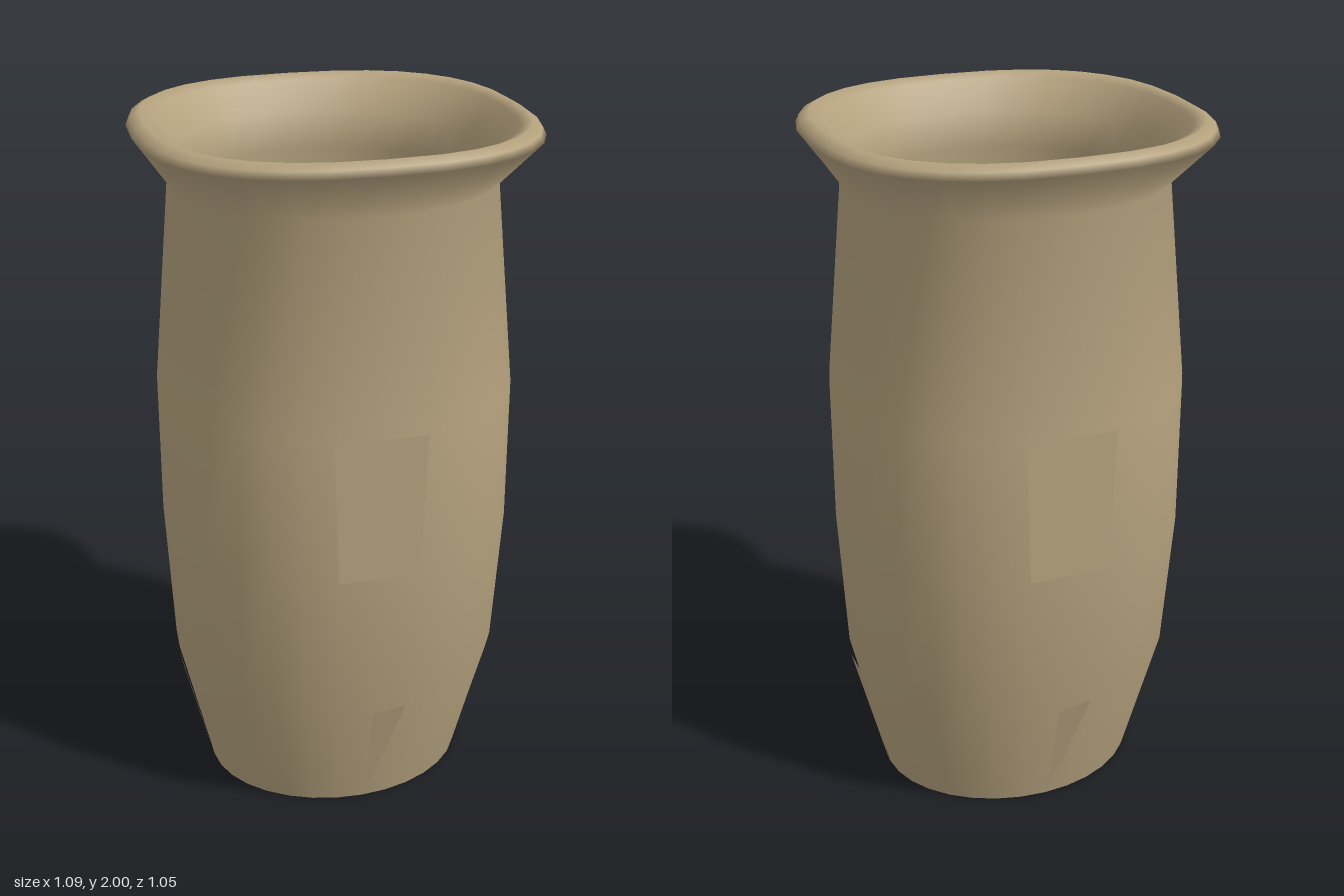
import * as THREE from 'three';

const SEG = 32;

// Point on a rounded-square ring; n = 2 is an ellipse, larger is squarer
function ringPoint([y, rx, rz, n], i) {
  const a = (i / SEG) * Math.PI * 2;
  const bend = (v) => Math.sign(v) * Math.pow(Math.abs(v), 2 / n);
  return [rx * bend(Math.cos(a)), y, rz * bend(Math.sin(a))];
}

// Skin a list of rings into one smooth surface
function loft(rings) {
  const positions = [], index = [];
  rings.forEach((ring, r) => {
    for (let i = 0; i < SEG; i++) {
      positions.push(...ringPoint(ring, i));
      if (r === rings.length - 1) continue;
      const a = r * SEG + i, b = r * SEG + ((i + 1) % SEG);
      index.push(a, a + SEG, b, b, a + SEG, b + SEG);
    }
  });
  return build(positions, index);
}

function build(positions, index) {
  const geo = new THREE.BufferGeometry();
  geo.setAttribute('position', new THREE.Float32BufferAttribute(positions, 3));
  geo.setIndex(index);
  geo.computeVertexNormals();
  return geo;
}

export function createModel() {
  const group = new THREE.Group();
  const clay = new THREE.MeshStandardMaterial({ color: 0xb5a27e, side: THREE.DoubleSide });
  clay.name = 'tan clay';

  const add = (name, geo, turn = 0) => {
    const mesh = new THREE.Mesh(geo, clay);
    mesh.name = name;
    mesh.rotation.y = turn;
    group.add(mesh);
  };

  // Outer wall, flared lip and inner wall: [y, half width, half depth, squareness]
  add('vesselWall', loft([
    [0, 0.385, 0.325, 2],
    [0.41, 0.48, 0.43, 2.15],
    [0.83, 0.5, 0.475, 2.2],
    [1.25, 0.5, 0.475, 2.2],
    [1.83, 0.45, 0.42, 2.1],
    [1.965, 0.545, 0.527, 2.55],
    [1.985, 0.535, 0.517, 2.55],
    [2, 0.51, 0.495, 2.5],
    [1.985, 0.485, 0.465, 2.4],
    [1.9, 0.435, 0.415, 2.2],
    [1.8, 0.41, 0.387, 2],
    [1.25, 0.46, 0.435, 2.2],
    [0.83, 0.46, 0.435, 2.2],
    [0.41, 0.445, 0.395, 2.15],
    [0, 0.375, 0.315, 2],
  ]));

  // Folded floor: a crease along the depth, rising to both sides
  for (const side of [1, -1]) {
    const half = [], faces = [];
    const steps = SEG / 2;
    for (let i = 0; i <= steps; i++) {
      const a = -Math.PI / 2 + (i / steps) * Math.PI;
      const x = 0.385 * Math.cos(a);
      half.push(side * x, 0.004 + 0.38 * x, 0.325 * Math.sin(a));
      if (i > 0 && i < steps) faces.push(...(side > 0 ? [0, i + 1, i] : [0, i, i + 1]));
    }
    add(side > 0 ? 'floorLeft' : 'floorRight', build(half, faces));
  }

  // Flat panels on the front and back
  const panel = build([
    -0.13, 1.245, 0.478, 0.13, 1.245, 0.478,
    0.115, 0.83, 0.478, -0.115, 0.83, 0.478,
  ], [0, 3, 1, 1, 3, 2]);
  // Slim tapering facets at the foot
  const frontDart = build([0, 0, 0.327, 0.1, 0.37, 0.424, 0, 0.35, 0.422], [0, 1, 2]);
  const sideDart = build([0, 0, 0.387, 0.065, 0.37, 0.476, -0.065, 0.37, 0.476], [0, 1, 2]);
  for (const [side, turn] of [['front', 0], ['back', Math.PI]]) {
    add(side + 'Panel', panel, turn);
    add(side + 'FootFacet', frontDart, turn);
    add(side === 'front' ? 'leftFootFacet' : 'rightFootFacet', sideDart, turn + Math.PI / 2);
  }
  return group;
}
